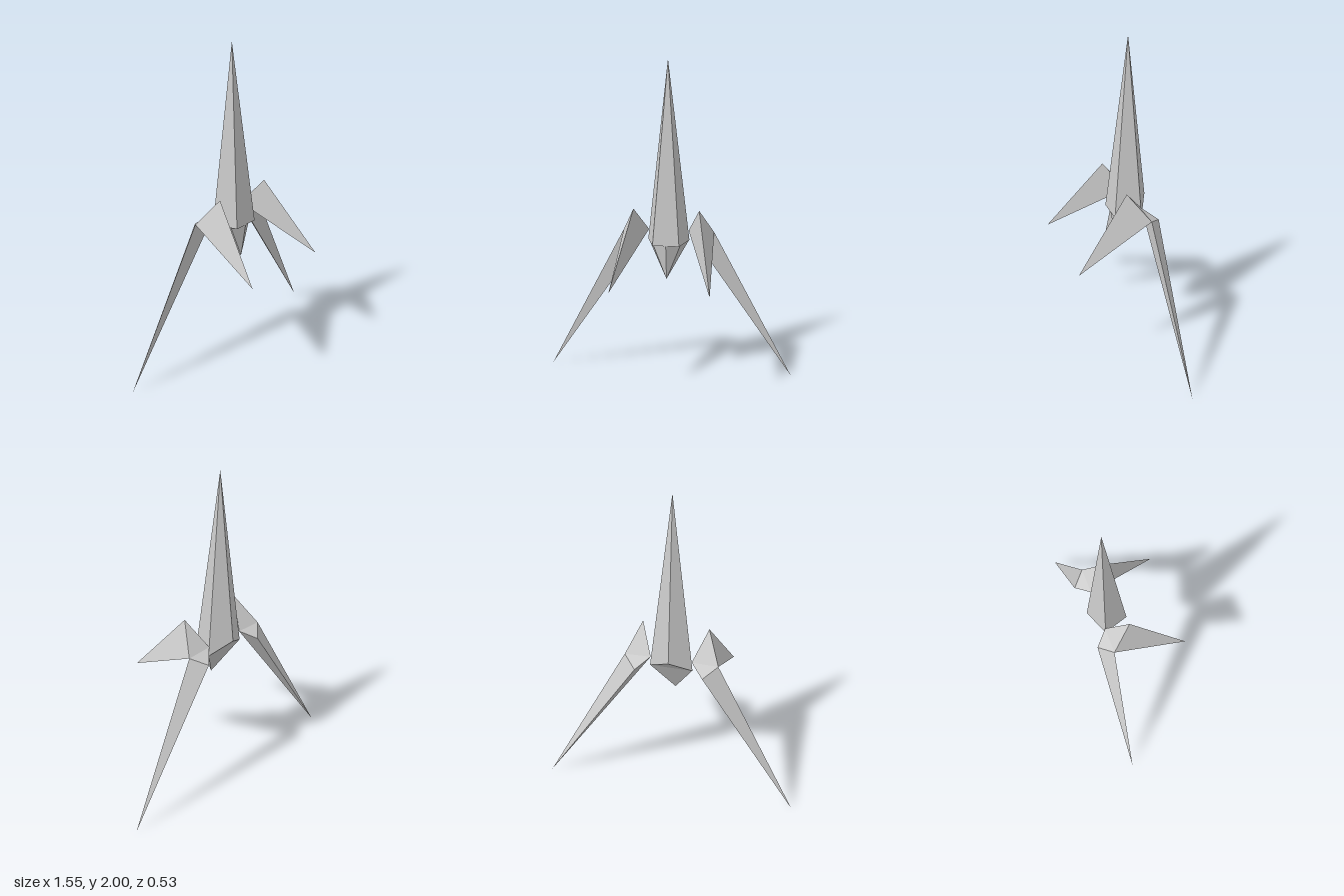
import * as THREE from 'three';
import { ConvexGeometry } from 'three/addons/geometries/ConvexGeometry.js';

const material = new THREE.MeshStandardMaterial({ color: 0xcccccc, flatShading: true });

// Faceted solid spanned by a few corners; side = -1 mirrors it across x
function facet(name, corners, side = 1) {
  const points = corners.map(([x, y, z]) => new THREE.Vector3(x * side, y, z));
  const mesh = new THREE.Mesh(new ConvexGeometry(points), material);
  mesh.name = name;
  return mesh;
}

export function createModel() {
  const model = new THREE.Group();
  model.name = 'spireCraft';

  // Tall five-sided spire with its back corner raised
  model.add(facet('spire', [
    [0, 2, -0.14],
    [-0.08, 0.9, -0.04], [0.08, 0.9, -0.04],
    [-0.127, 0.9, -0.19], [0.127, 0.9, -0.19],
    [0, 0.98, -0.26],
  ]));

  // Short point hanging beneath the spire
  model.add(facet('lowerPoint', [
    [0, 0.68, -0.08],
    [0, 0.9, -0.042],
    [-0.085, 0.9, -0.085], [0.085, 0.9, -0.085],
    [-0.125, 0.9, -0.19], [0.125, 0.9, -0.19],
  ]));

  // Each wing: a forward claw and a long leg hinged along one shared edge
  for (const [name, side] of [['leftWing', 1], ['rightWing', -1]]) {
    const inner = [0.122, 0.96, -0.19];
    const outer = [0.278, 0.955, -0.19];
    const wing = new THREE.Group();
    wing.name = name;
    wing.add(
      facet('claw', [inner, outer, [0.197, 1.12, -0.065], [0.293, 0.7, 0.265]], side),
      facet('leg', [inner, outer, [0.2, 0.91, -0.268], [0.775, 0, -0.263]], side),
    );
    model.add(wing);
  }
  return model;
}
